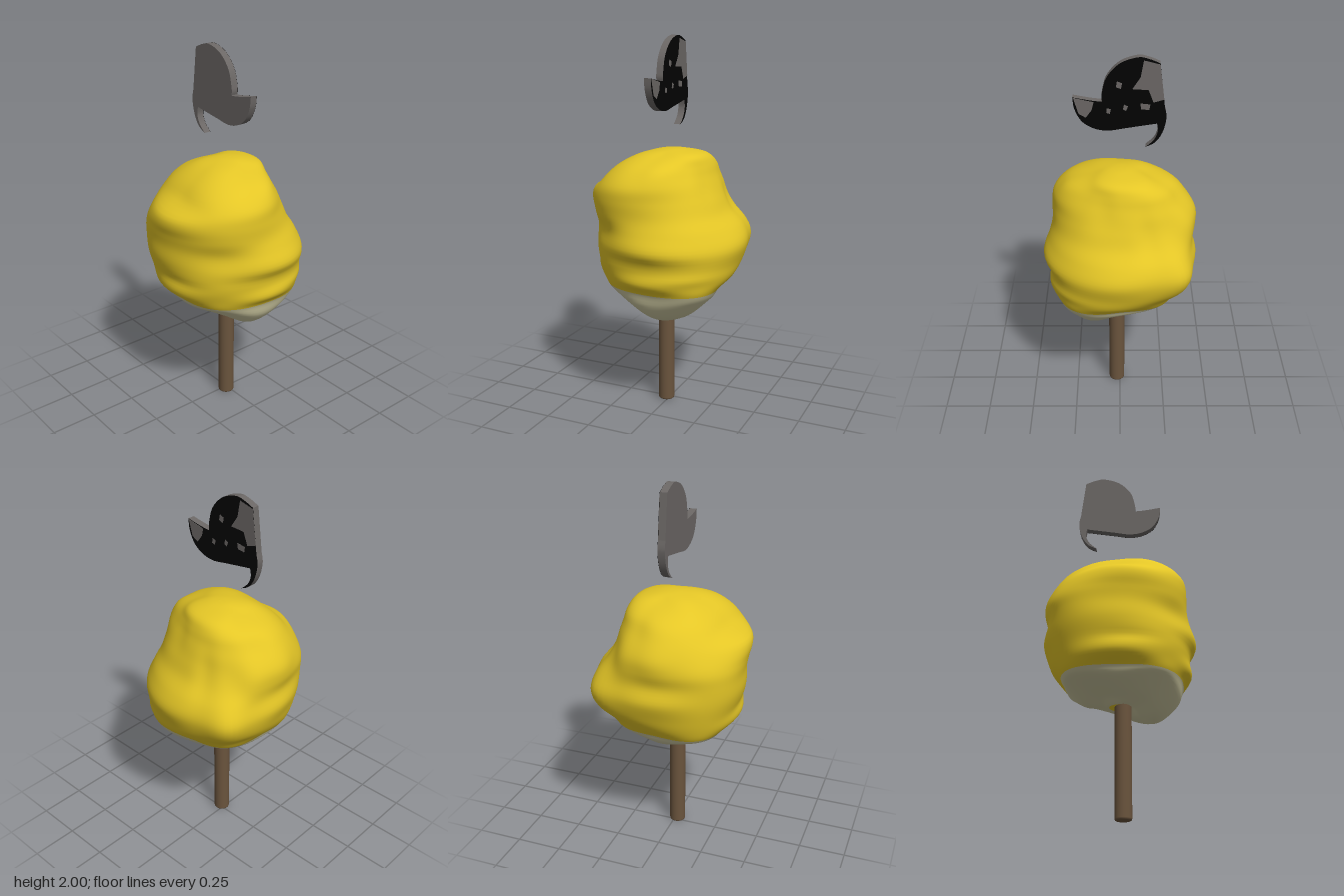
import * as THREE from 'three';

const paint = (name, color) => Object.assign(new THREE.MeshStandardMaterial({ color }), { name });

// Cross-sections, bottom to top: heights and radii in eight directions,
// starting at +x and turning towards +z.
const all = (v) => Array(8).fill(v);
const rim = [.295, .375, .335, .345, .315, .35, .295, .315];
const RINGS = [
  { y: all(.59), r: all(0) },
  { y: all(.59), r: all(.055) },
  { y: [.58, .555, .55, .585, .61, .62, .60, .60], r: rim.map((v) => v * .32) },
  { y: [.61, .555, .53, .60, .63, .64, .60, .635], r: rim.map((v) => v * .6) },
  { y: [.66, .65, .615, .67, .665, .675, .66, .68], r: rim.map((v) => v * .9) },
  { y: all(.705), r: rim },
  { y: all(.76), r: [.355, .39, .375, .365, .375, .375, .34, .35] },
  { y: all(.83), r: [.385, .40, .37, .38, .385, .395, .375, .40] },
  { y: all(.93), r: [.412, .41, .41, .39, .40, .41, .405, .425] },
  { y: all(1.02), r: [.378, .375, .385, .38, .40, .42, .385, .405] },
  { y: all(1.10), r: [.315, .325, .36, .40, .41, .42, .40, .365] },
  { y: all(1.18), r: [.28, .295, .35, .405, .41, .39, .395, .325] },
  { y: all(1.26), r: [.25, .26, .34, .38, .31, .33, .35, .295] },
  { y: all(1.34), r: [.21, .21, .28, .30, .24, .255, .275, .255] },
  { y: all(1.395), r: [.165, .16, .14, .185, .155, .165, .14, .18] },
  { y: all(1.42), r: all(.065) },
  { y: all(1.425), r: all(0) },
];
const COLLAR_RING = 1, RIM_RING = 5;

// Local bulges and dents: angle and its width in degrees, height and its width, amount
const BUMPS = [
  [-46, 14, .93, .13, .055], [180, 25, 1.22, .035, .03], [90, 40, .88, .03, -.01],
  [-28, 10, 1.14, .12, -.015], [60, 30, .80, .03, .01], [130, 18, 1.0, .08, -.01],
  [210, 20, .98, .12, .01], [250, 14, 1.15, .12, -.01], [20, 16, 1.26, .08, -.01],
  [100, 14, 1.33, .05, -.015], [-75, 12, 1.3, .08, -.012], [170, 25, .84, .03, -.01],
  [-66, 12, 1.15, .10, .02],
];

// Smooth curve through b and c
function spline(a, b, c, d, t) {
  return b + .5 * t * (c - a + t * (2 * a - 5 * b + 4 * c - d + t * (3 * (b - c) + d - a)));
}

function around(values, u) {
  const i = Math.floor(u), v = (k) => values[(i + k + 8) % 8];
  return spline(v(-1), v(0), v(1), v(2), u - i);
}

function bumps(deg, y) {
  let sum = 0;
  for (const [a, wa, h, wh, amount] of BUMPS) {
    const d = (((deg - a) % 360) + 540) % 360 - 180;
    sum += amount * Math.exp(-((d / wa) ** 2) - ((y - h) / wh) ** 2);
  }
  return sum;
}

// Lumpy skin lofted through the rings; cream underneath, yellow above and round the stick
function lumpGeometry() {
  const sides = 96, steps = 5, last = RINGS.length - 1, rows = last * steps;
  const pos = [], index = [];
  for (let j = 0; j <= rows; j++) {
    const k = Math.min(Math.floor(j / steps), last - 1), t = j / steps - k;
    const ring = (n) => RINGS[Math.max(0, Math.min(last, n))];
    for (let i = 0; i < sides; i++) {
      const u = i / sides * 8, a = i / sides * Math.PI * 2;
      const get = (key) => spline(...[-1, 0, 1, 2].map((n) => around(ring(k + n)[key], u)), t);
      const y = get('y');
      let r = Math.max(0, get('r'));
      // shallow folds
      r *= 1 + .007 * Math.sin(5 * a + 9 * y) + .004 * Math.sin(34 * y + 2 * Math.sin(2 * a));
      if (k >= RIM_RING) r = Math.max(0, r + bumps(a * 180 / Math.PI, y) * Math.min(1, r / .15));
      pos.push(r * Math.cos(a) + .02 * Math.max(0, (y - 1.3) / .12), y, r * Math.sin(a));
    }
  }
  for (let j = 0; j < rows; j++) {
    for (let i = 0; i < sides; i++) {
      const n = (i + 1) % sides, a = j * sides + i, b = j * sides + n;
      index.push(a, a + sides, b, b, a + sides, b + sides);
    }
  }
  const g = new THREE.BufferGeometry();
  g.setAttribute('position', new THREE.Float32BufferAttribute(pos, 3));
  g.setIndex(index);
  g.computeVertexNormals();
  const perRing = steps * sides * 6;
  g.addGroup(0, COLLAR_RING * perRing, 1);
  g.addGroup(COLLAR_RING * perRing, (RIM_RING - COLLAR_RING) * perRing, 0);
  g.addGroup(RIM_RING * perRing, (last - RIM_RING) * perRing, 1);
  return g;
}

// Upright plate: points are (-z, y), thickness runs along x
function plate(name, shape, x, depth, material) {
  const g = new THREE.ExtrudeGeometry(shape, { depth, bevelEnabled: false, curveSegments: 10 });
  g.rotateY(Math.PI / 2);
  const mesh = new THREE.Mesh(g, material);
  mesh.name = name;
  mesh.position.x = x;
  return mesh;
}

const points = (list) => list.map((p) => new THREE.Vector2(...p));

function finShape() {
  const s = new THREE.Shape();
  s.moveTo(.195, 1.97);
  s.splineThru(points([[.14, 1.992], [.085, 2], [0, 1.97], [-.065, 1.90], [-.09, 1.81], [-.088, 1.775]]));
  s.quadraticCurveTo(-.13, 1.775, -.234, 1.797);
  s.splineThru(points([[-.225, 1.735], [-.19, 1.67], [-.13, 1.632], [-.06, 1.62], [.02, 1.632]]));
  s.lineTo(.185, 1.658);
  s.splineThru(points([[.19, 1.615], [.172, 1.57], [.13, 1.53]]));
  s.splineThru(points([[.18, 1.558], [.215, 1.615], [.231, 1.69], [.222, 1.745]]));
  s.closePath();
  return s;
}

export function createModel() {
  const yellow = paint('yellow', 0xe4c626);
  const cream = paint('cream', 0xccc79f);
  const brown = paint('stick brown', 0x6a543d);
  const grey = paint('grey', 0x6b6765);
  const black = paint('black', 0x030303);
  const model = new THREE.Group();

  const lump = new THREE.Mesh(lumpGeometry(), [cream, yellow]);
  lump.name = 'lump';
  model.add(lump);

  // Stick with a softened lower edge
  const profile = points([[0, 0], [.038, 0], [.042, .003], [.044, .01], [.044, .68]]);
  const stick = new THREE.Mesh(new THREE.LatheGeometry(profile, 32), brown);
  stick.name = 'stick';
  stick.position.set(-.015, 0, .018);
  model.add(stick);

  // Floating fin with a black face and bare grey patches
  const fin = new THREE.Group();
  fin.name = 'fin';
  fin.add(plate('finBody', finShape(), -.039, .038, grey));
  fin.add(plate('finFace', finShape(), -.001, .001, black));
  const patches = [
    [[.115, 1.985], [.195, 1.965], [.218, 1.785], [.165, 1.77], [.14, 1.835], [.06, 1.84], [.1, 1.9]],
    [[-.231, 1.795], [-.13, 1.772], [-.14, 1.73], [-.17, 1.69], [-.205, 1.71]],
    [[-.015, 1.88], [.01, 1.87], [.005, 1.84], [-.02, 1.85]],
    [[-.065, 1.74], [-.045, 1.735], [-.05, 1.71], [-.068, 1.715]],
    [[.02, 1.76], [.04, 1.75], [.03, 1.725], [.015, 1.735]],
    [[.1, 1.765], [.15, 1.76], [.145, 1.73], [.105, 1.735]],
  ];
  for (const p of patches) {
    fin.add(plate('finPatch', new THREE.Shape(points(p)), 0, .001, grey));
  }
  model.add(fin);
  return model;
}
